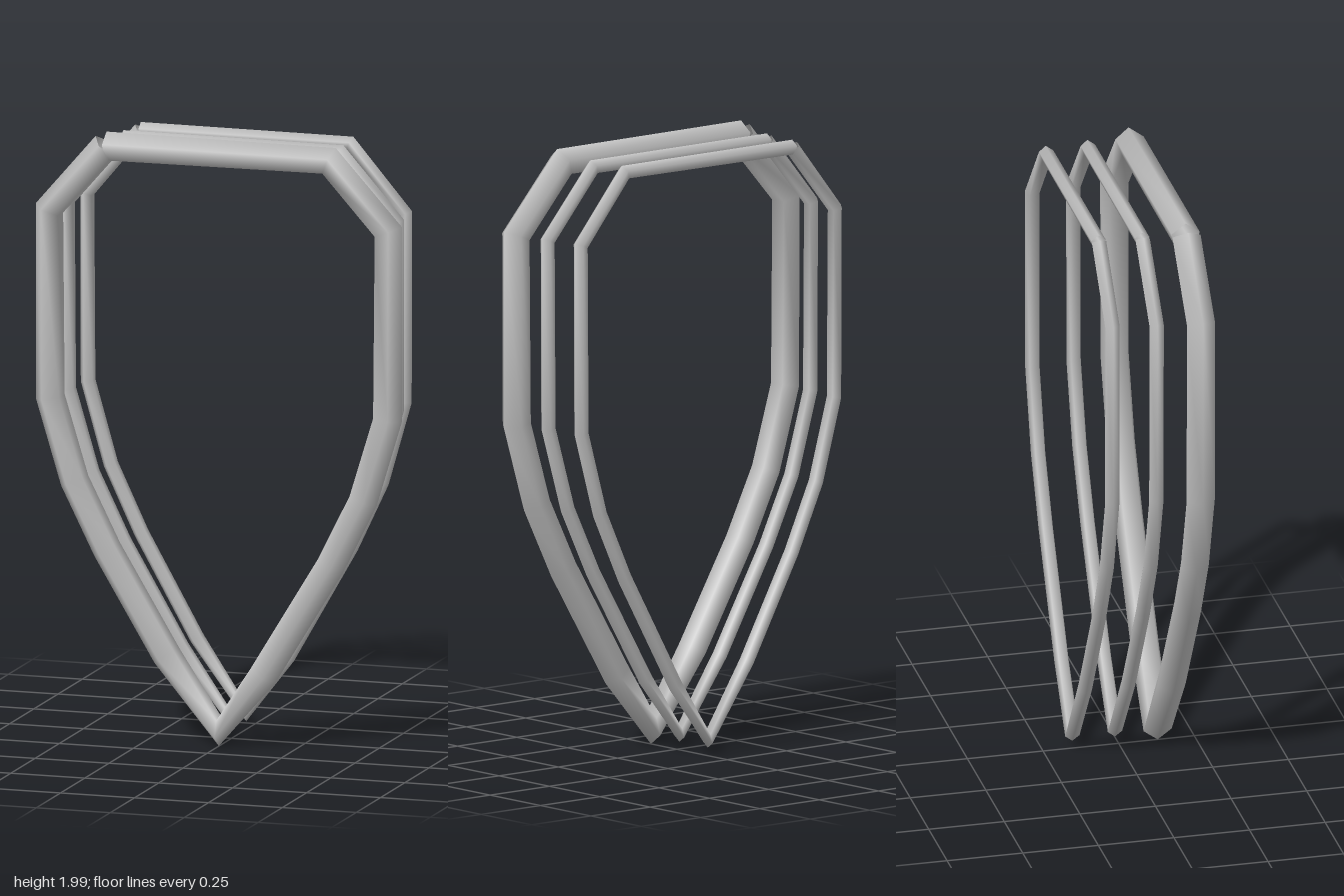
import * as THREE from 'three';

const SIDES = 5;

// Centre line of the shield outline, clockwise from the top left corner
const OUTLINE = [
  [-0.38, 1.951], [0.375, 1.951], [0.573, 1.733], [0.57, 1.117], [0.488, 0.848],
  [0.378, 0.629], [0.15, 0.255], [0, 0.058], [-0.177, 0.295], [-0.378, 0.629],
  [-0.488, 0.848], [-0.57, 1.117], [-0.573, 1.733], [-0.38, 1.951],
];

// Five-sided tube along a flat path, one ridge facing outward, ends cut square
function tubeAlong(points, radius) {
  const path = points.map(([x, y]) => new THREE.Vector2(x, y));
  const last = path.length - 1;
  const dirs = path.slice(1).map((p, i) => p.clone().sub(path[i]).normalize());
  const position = [], normal = [], index = [];

  path.forEach((p, i) => {
    // The cross-section lies in the plane halving each corner
    const t = dirs[Math.max(i - 1, 0)].clone().add(dirs[Math.min(i, last - 1)]).normalize();
    for (let j = 0; j < SIDES; j++) {
      const a = (j / SIDES) * Math.PI * 2;
      const n = [-t.y * Math.cos(a), t.x * Math.cos(a), Math.sin(a)];
      normal.push(...n);
      position.push(p.x + n[0] * radius, p.y + n[1] * radius, n[2] * radius);
      if (i < last) {
        const k = (j + 1) % SIDES, r = i * SIDES, s = r + SIDES;
        index.push(r + j, r + k, s + j, r + k, s + k, s + j);
      }
    }
  });

  const geometry = new THREE.BufferGeometry();
  geometry.setAttribute('position', new THREE.Float32BufferAttribute(position, 3));
  geometry.setAttribute('normal', new THREE.Float32BufferAttribute(normal, 3));
  geometry.setIndex(index);
  return geometry;
}

export function createModel() {
  const model = new THREE.Group();
  model.name = 'shieldFrames';
  const metal = new THREE.MeshStandardMaterial({ color: 0xc0c0c0, side: THREE.DoubleSide });
  metal.name = 'light grey';

  // One thick rim in front, two thin and slightly narrower ones behind
  const rims = [
    { name: 'frontRim', z: 0.129, radius: 0.049, width: 1, lift: 0 },
    { name: 'middleRim', z: -0.012, radius: 0.025, width: 0.972, lift: 0.002 },
    { name: 'backRim', z: -0.153, radius: 0.025, width: 0.938, lift: 0.002 },
  ];
  for (const { name, z, radius, width, lift } of rims) {
    const points = OUTLINE.map(([x, y]) => [x * width, y + lift]);
    const rim = new THREE.Mesh(tubeAlong(points, radius), metal);
    rim.name = name;
    rim.position.z = z;
    model.add(rim);
  }
  return model;
}
